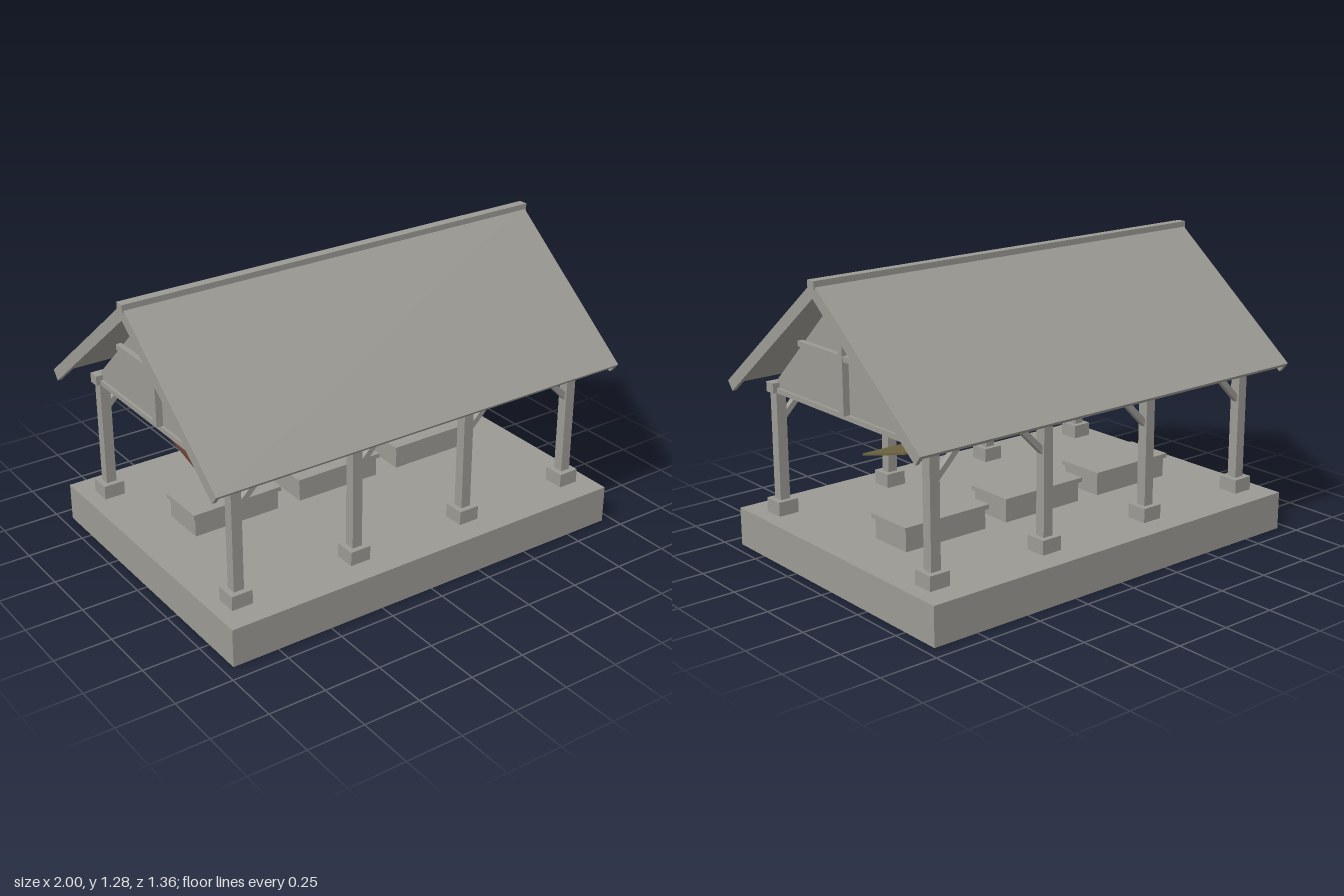
import * as THREE from 'three';

const paint = (name, color) => Object.assign(new THREE.MeshStandardMaterial({ color }), { name });

export function createModel() {
  const model = new THREE.Group();
  model.name = 'pavilion';
  const grey = paint('weathered grey', 0x9c9a94);
  const red = paint('brick red', 0x653d34);
  const silver = paint('neutral grey', 0x8a8a8a);
  const olive = paint('olive', 0x6d6340);

  const add = (name, geometry, material = grey) => {
    const mesh = new THREE.Mesh(geometry, material);
    mesh.name = name;
    model.add(mesh);
    return mesh;
  };
  // Box given by its limits on each axis
  const box = (name, x0, x1, y0, y1, z0, z1, material) => {
    const mesh = add(name, new THREE.BoxGeometry(x1 - x0, y1 - y0, z1 - z0), material);
    mesh.position.set((x0 + x1) / 2, (y0 + y1) / 2, (z0 + z1) / 2);
    return mesh;
  };
  // Symmetric (z, y) outline extruded along x
  const prism = (name, points, x0, x1) => {
    const shape = new THREE.Shape(points.map(([z, y]) => new THREE.Vector2(z, y)));
    const geometry = new THREE.ExtrudeGeometry(shape, { depth: x1 - x0, bevelEnabled: false });
    geometry.rotateY(Math.PI / 2).translate(x0, 0, 0);
    return add(name, geometry);
  };

  // Plinth
  box('plinth', -0.955, 0.955, 0, 0.168, -0.68, 0.68);

  // Two rows of posts with footings, braces and wall plates
  const postX = [-0.84, -0.28, 0.28, 0.84];
  for (const z of [-0.522, 0.522]) {
    for (const x of postX) {
      box('footing', x - 0.047, x + 0.047, 0.168, 0.23, z - 0.047, z + 0.047);
      box('post', x - 0.023, x + 0.023, 0.23, 0.705, z - 0.023, z + 0.023);
      const side = x > 0.8 ? -1 : 1;
      const brace = add('brace', new THREE.BoxGeometry(0.025, 0.18, 0.025));
      brace.position.set(x + side * 0.075, 0.646, z);
      brace.rotation.z = -side * Math.PI / 4;
    }
    box('wallPlate', -0.88, 0.88, 0.702, 0.745, z - 0.025, z + 0.025);
  }
  for (const x of postX) box('tieBeam', x - 0.02, x + 0.02, 0.7, 0.722, -0.545, 0.545);

  // Roof: two slopes as one folded sheet, edge boards and ridge cap
  const eave = [0.662, 0.745], ridgeY = 1.27;
  const pitch = Math.atan2(ridgeY - eave[1], eave[0]);
  const chevron = (top, bottom) => {
    const at = (t) => [eave[0] - t * Math.sin(pitch), eave[1] - t * Math.cos(pitch)];
    const [oz, oy] = at(top), [iz, iy] = at(bottom);
    return [
      [oz, oy], [0, ridgeY - top / Math.cos(pitch)], [-oz, oy],
      [-iz, iy], [0, ridgeY - bottom / Math.cos(pitch)], [iz, iy],
    ];
  };
  prism('roofSheet', chevron(0, 0.018), -0.993, 0.993);
  for (const x of [-0.984, 0.984]) prism('bargeBoard', chevron(0.018, 0.05), x - 0.009, x + 0.009);
  box('ridgeCap', -1, 1, 1.246, 1.278, -0.021, 0.021);

  // Gable walls with king post and collar beam on the outside
  for (const s of [-1, 1]) {
    const x = s * 0.84;
    prism('gableWall', [[0.545, 0.722], [0, 1.235], [-0.545, 0.722]], x - 0.008, x + 0.008);
    const out = s * 0.862;
    box('kingPost', out - 0.016, out + 0.016, 0.722, 1.222, -0.015, 0.015);
    box('collarBeam', out - 0.012, out + 0.012, 0.941, 0.965, -0.303, 0.303);
  }

  // Three display tables, each under a tilted hanging panel
  [red, silver, olive].forEach((material, i) => {
    const x = (i - 1) * 0.518 - 0.002;
    box('table', x - 0.203, x + 0.203, 0.168, 0.256, -0.191, 0.014);
    box('tableTop', x - 0.214, x + 0.214, 0.256, 0.276, -0.203, 0.025);
    const panel = add('hangingPanel', new THREE.BoxGeometry(0.436, 0.009, 0.295), material);
    panel.position.set(x, 0.551, -0.07);
    panel.rotation.x = Math.atan2(0.075, 0.285);
  });

  return model;
}
